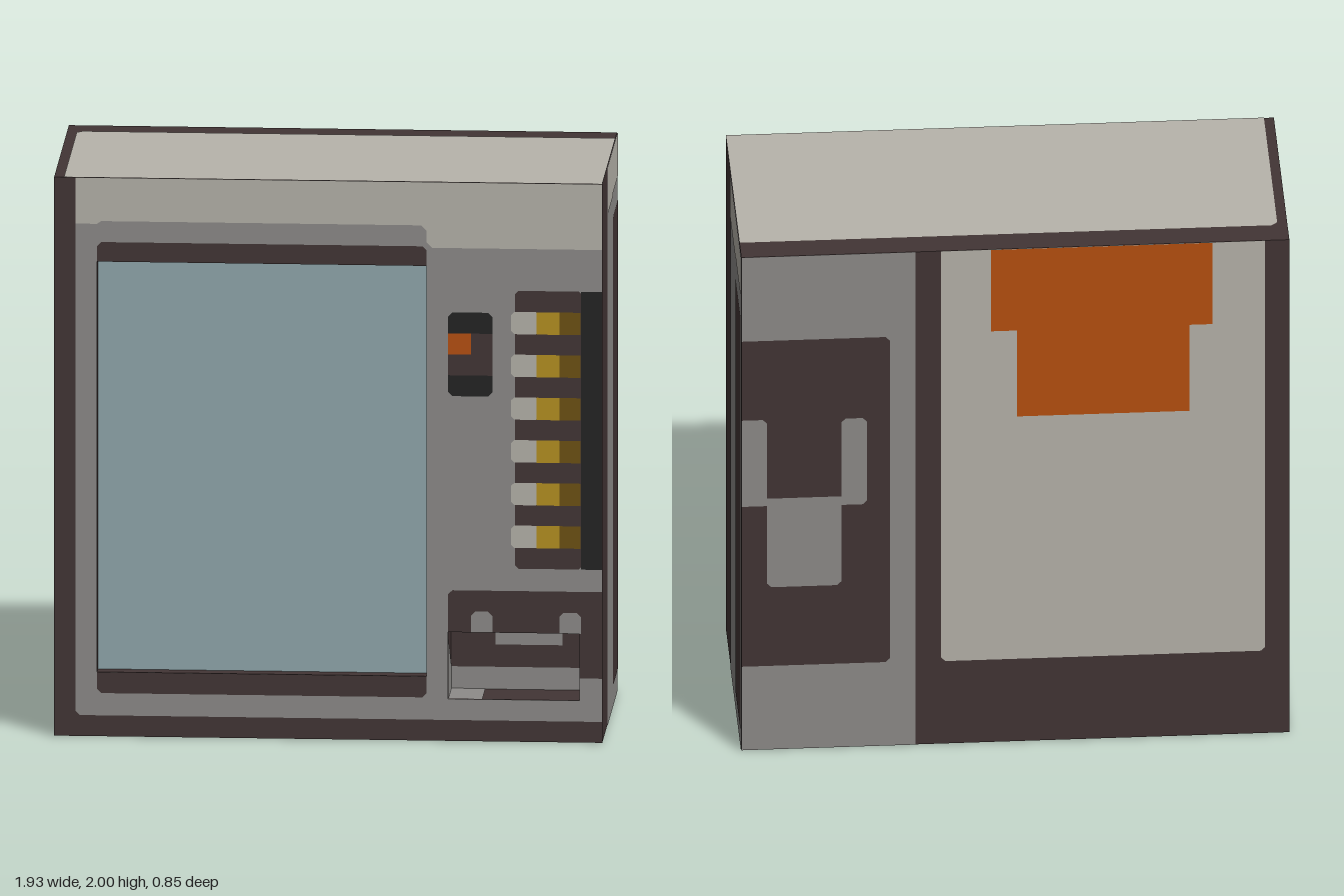
import * as THREE from 'three';

const W = 0.96, H = 2, D = 0.42;      // half width, height, half depth
const SLOT = 0.17, GLASS = 0.05;      // recess depths
const LAYER = 0.0015;                 // spacing of painted plates

const mat = (name, color, side = THREE.FrontSide) => {
  const m = new THREE.MeshStandardMaterial({ color, side });
  m.name = name;
  return m;
};

// Corner points of a rectangle, optionally with clipped corners
function rect(x0, y0, x1, y1, c = 0) {
  if (!c) return [[x0, y0], [x1, y0], [x1, y1], [x0, y1]];
  return [[x0 + c, y0], [x1 - c, y0], [x1, y0 + c], [x1, y1 - c],
    [x1 - c, y1], [x0 + c, y1], [x0, y1 - c], [x0, y0 + c]];
}

function shape(points, holes = []) {
  const s = new THREE.Shape(points.map(p => new THREE.Vector2(...p)));
  for (const h of holes) s.holes.push(new THREE.Path(h.map(p => new THREE.Vector2(...p))));
  return s;
}

export function createModel() {
  const brown = mat('darkBrown', 0x423535);
  const grey = mat('grey', 0x8e8c8a);
  const beige = mat('beige', 0xb7b4ab);
  const blue = mat('glassBlue', 0x92a9ae);
  const black = mat('black', 0x222222);
  const orange = mat('orange', 0xb8500f);
  const gold = mat('gold', 0xb79220);
  const darkGold = mat('darkGold', 0x6e5210);

  const model = new THREE.Group();
  model.name = 'vendingMachine';

  // A group per side; plates are drawn in its flat x/y plane
  const makeFace = (name, pos, rot) => {
    const g = new THREE.Group();
    g.name = name;
    g.position.set(...pos);
    g.rotation.set(...rot);
    model.add(g);
    return g;
  };
  const plate = (face, name, material, points, layer = 1, holes = []) => {
    const m = new THREE.Mesh(new THREE.ShapeGeometry(shape(points, holes)), material);
    m.name = name;
    m.position.z = layer * LAYER;
    face.add(m);
    return m;
  };
  const box = (name, material, x0, x1, y0, y1, z0, z1) => {
    const m = new THREE.Mesh(new THREE.BoxGeometry(x1 - x0, y1 - y0, z1 - z0), material);
    m.name = name;
    m.position.set((x0 + x1) / 2, (y0 + y1) / 2, (z0 + z1) / 2);
    model.add(m);
  };

  // Cabinet: solid rear and a front frame with window and delivery openings
  const windowHole = rect(-0.81, 0.23, 0.345, 1.7);
  const slotHole = rect(0.42, 0.15, 0.88, 0.39);
  box('cabinetRear', brown, -W, W, 0, H, -D, D - SLOT);
  const frame = new THREE.Mesh(new THREE.ExtrudeGeometry(
    shape(rect(-W, 0, W, H), [windowHole, slotHole]), { depth: SLOT, bevelEnabled: false }), brown);
  frame.name = 'cabinetFront';
  frame.position.z = D - SLOT;
  model.add(frame);
  box('windowGlass', blue, -0.81, 0.345, 0.23, 1.7, D - SLOT, D - GLASS);

  // Front panel paint
  const front = makeFace('frontPanel', [0, 0, D], [0, 0, 0]);
  plate(front, 'frontFace', grey,
    [[-0.87, 0.075], [W, 0.075], [W, H], [-0.885, H], [-0.885, 0.09]], 1, [windowHole, slotHole]);
  plate(front, 'topBand', beige, [[-0.885, 1.835], [-0.81, 1.835], [-0.795, 1.845], [0.325, 1.845],
    [0.345, 1.825], [0.345, 1.785], [0.365, 1.765], [W, 1.765], [W, H], [-0.885, H]], 2);
  plate(front, 'windowTopTrim', brown,
    [[-0.81, 1.7], [0.345, 1.7], [0.345, 1.755], [0.33, 1.77], [-0.795, 1.77], [-0.81, 1.755]], 2);
  plate(front, 'windowBottomTrim', brown,
    [[-0.795, 0.155], [0.33, 0.155], [0.345, 0.17], [0.345, 0.23], [-0.81, 0.23], [-0.81, 0.17]], 2);

  // Coin unit
  plate(front, 'coinUnit', black, rect(0.42, 1.235, 0.575, 1.535, 0.015), 2);
  plate(front, 'coinBand', brown, rect(0.42, 1.31, 0.575, 1.46), 3);
  plate(front, 'coinLight', orange, rect(0.42, 1.385, 0.5, 1.46), 4);

  // Selection buttons
  plate(front, 'buttonPanel', brown, rect(0.655, 0.62, 0.89, 1.615, 0.012), 2);
  plate(front, 'buttonPanelEdge', black, rect(0.885, 0.62, W, 1.615), 3);
  for (let i = 0; i < 6; i++) {
    const y = 0.735 + i * 0.153, y0 = y - 0.04, y1 = y + 0.04;
    plate(front, 'buttonLabel', beige, rect(0.64, y0, 0.74, y1, 0.012), 3);
    plate(front, 'buttonMiddle', gold, rect(0.73, y0, 0.81, y1), 4);
    plate(front, 'buttonEnd', darkGold, rect(0.81, y0, 0.885, y1), 4);
  }

  // Delivery panel around the slot, with handle ends
  plate(front, 'deliveryPanel', brown, [[0.42, 0.39], [0.88, 0.39], [0.88, 0.23], [W, 0.23],
    [W, 0.54], [0.435, 0.54], [0.42, 0.525]], 2);
  for (const x of [0.5, 0.81]) {
    plate(front, 'handleEnd', grey, [[x, 0.39], [x + 0.075, 0.39], [x + 0.075, 0.45],
      [x + 0.06, 0.465], [x + 0.015, 0.465], [x, 0.45]], 3);
  }

  // Slot lining
  const slotBack = makeFace('slotBack', [0, 0, D - SLOT], [0, 0, 0]);
  plate(slotBack, 'slotBackLower', grey, rect(0.42, 0.15, 0.88, 0.23));
  plate(slotBack, 'slotHandle', grey, rect(0.575, 0.31, 0.81, 0.39));
  const slotSide = makeFace('slotSide', [0.42, 0, 0], [0, Math.PI / 2, 0]);
  plate(slotSide, 'slotSideLower', grey, [[-D, 0.15], [-D + SLOT, 0.15], [-D + SLOT, 0.23], [-D, 0.37]]);
  const slotFloor = makeFace('slotFloor', [0, 0.15, 0], [-Math.PI / 2, 0, 0]);
  plate(slotFloor, 'slotFloorEnd', grey, rect(0.42, -D, 0.54, -D + SLOT));

  // Both sides: u runs from front (-D) to back (+D), mirrored on the other side
  for (const s of [1, -1]) {
    const side = makeFace(s > 0 ? 'leftSide' : 'rightSide', [s * W, 0, 0], [0, s * Math.PI / 2, 0]);
    const m = pts => pts.map(([u, v]) => [s * u, v]);
    plate(side, 'sideFace', grey, m(rect(-0.145, 0, D, H)));
    plate(side, 'sideTopBand', beige,
      m([[-0.145, 1.835], [0.14, 1.835], [0.15, 1.845], [D, 1.845], [D, H], [-0.145, H]]), 2);
    plate(side, 'sideRearPanel', brown,
      m([[0.16, 0.08], [D, 0.08], [D, 1.76], [0.16, 1.76], [0.14, 1.74], [0.14, 0.1]]), 2);
  }

  // Top
  const top = makeFace('top', [0, H, 0], [-Math.PI / 2, 0, 0]);
  plate(top, 'topFace', beige, [[-0.925, -D], [W, -D], [W, 0.32], [-0.905, 0.32], [-0.925, 0.3]]);

  // Back: u is -x
  const back = makeFace('back', [0, 0, -D], [0, Math.PI, 0]);
  plate(back, 'backServiceFace', grey, rect(-W, 0, -0.35, H));
  plate(back, 'backServicePanel', brown,
    [[-W, 0.34], [-0.455, 0.34], [-0.44, 0.355], [-0.44, 1.645], [-0.455, 1.66], [-W, 1.66]], 2);
  plate(back, 'backHandle', grey, [[-0.855, 0.66], [-0.625, 0.66], [-0.61, 0.675], [-0.61, 0.985],
    [-0.535, 0.985], [-0.52, 1], [-0.52, 1.32], [-0.535, 1.335], [-0.595, 1.335], [-0.61, 1.32],
    [-0.61, 1.02], [-0.87, 1.02], [-0.87, 1.325], [-0.885, 1.34], [-W, 1.34], [-W, 0.99],
    [-0.87, 0.99], [-0.87, 0.675]], 3);
  plate(back, 'backDoor', beige,
    [[-0.245, 0.335], [0.86, 0.335], [0.875, 0.35], [0.875, H], [-0.26, H], [-0.26, 0.35]]);
  plate(back, 'backLabelLower', orange, rect(0.005, 1.32, 0.61, 1.7), 2);
  plate(back, 'backLabelUpper', orange, rect(-0.085, 1.67, 0.69, H), 3);

  // Underside
  const base = makeFace('underside', [0, 0, 0], [Math.PI / 2, 0, 0]);
  plate(base, 'undersideFace', grey,
    [[-0.35, -D], [W, -D], [W, -0.19], [0.31, -0.19], [0.31, D], [-0.35, D]]);

  return model;
}
